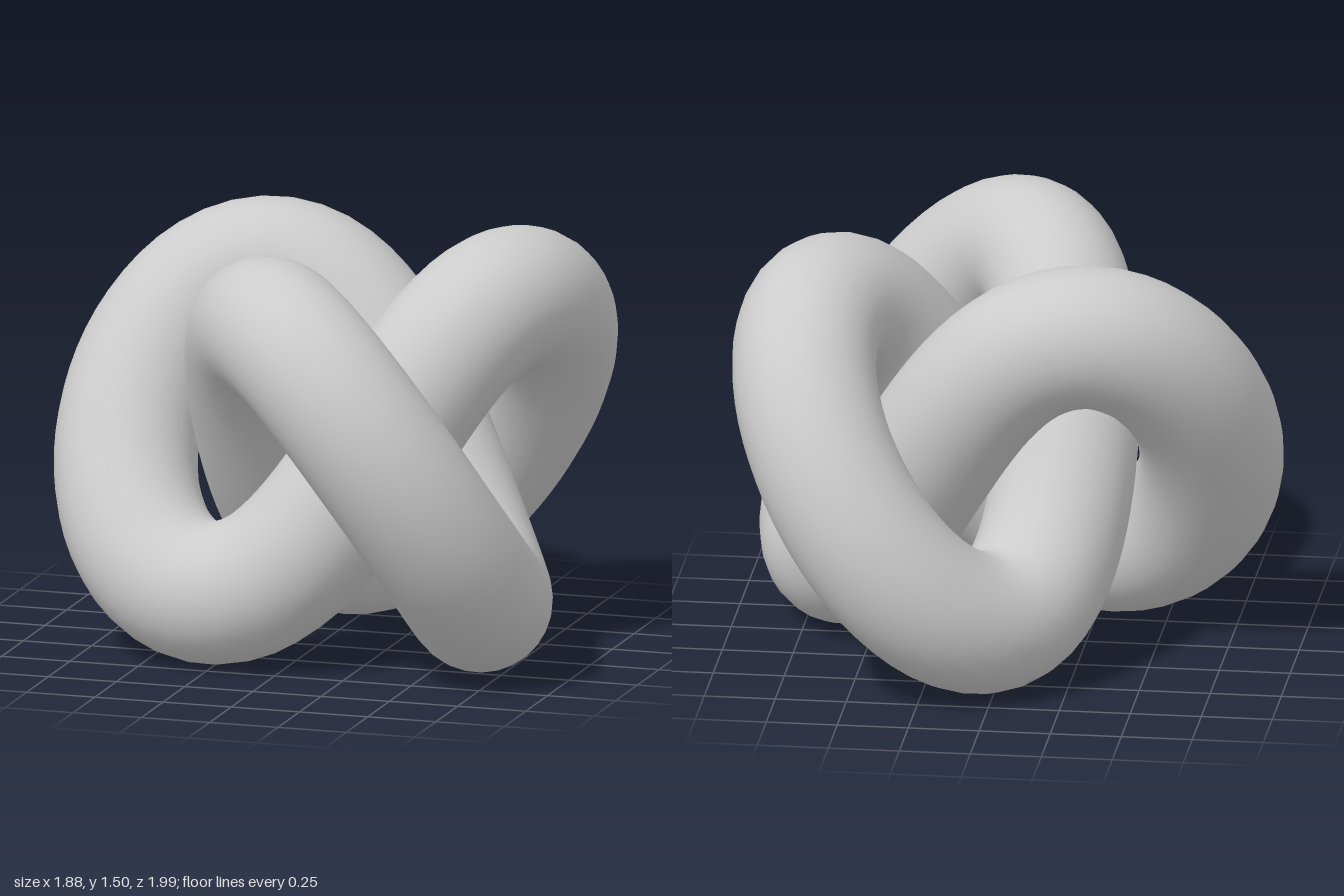
import * as THREE from 'three';

// Closed trefoil centreline with three-fold symmetry about the vertical axis
class TrefoilCurve extends THREE.Curve {
  getPoint(u, target = new THREE.Vector3()) {
    const t = u * Math.PI * 2;
    // [harmonic, amplitude, sign of the cosine term]
    const terms = [[1, 0.211, 1], [2, 0.543, -1], [4, -0.017, 1], [5, -0.043, -1]];
    let x = 0.124;
    let z = 0;
    for (const [n, amp, sign] of terms) {
      x += sign * amp * Math.cos(n * t);
      z += amp * Math.sin(n * t);
    }
    return target.set(x, 0.752 + 0.5 * Math.sin(3 * t), z);
  }
}

export function createModel() {
  const group = new THREE.Group();
  group.name = 'trefoilKnot';

  // One thick round tube swept along the knot
  const curve = new TrefoilCurve();
  curve.arcLengthDivisions = 600;
  const tube = new THREE.Mesh(
    new THREE.TubeGeometry(curve, 160, 0.252, 28, true),
    new THREE.MeshStandardMaterial({ color: 0xcccccc })
  );
  tube.name = 'knotTube';
  group.add(tube);
  return group;
}
